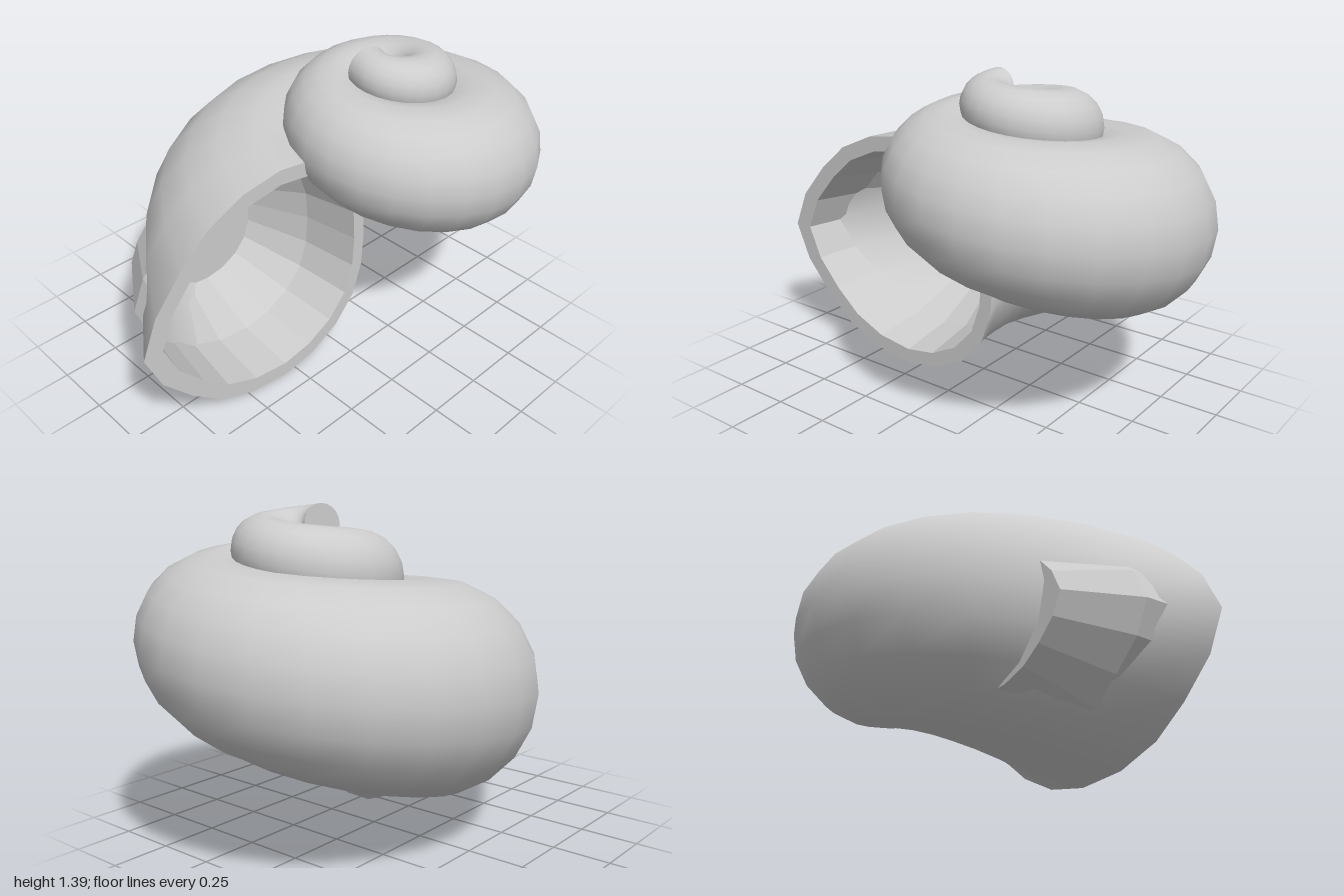
import * as THREE from 'three';

const SIDES = 20;
const STEPS_PER_QUARTER = 6;
const QUARTERS = 8.2;
const AXIS = { x: 0.277, z: 0.156 };

// Cross-section of the shell tube, q quarter turns in from the mouth
function section(q) {
  const s = Math.pow(0.806, q);
  const flare = Math.pow(Math.max(0, 1 - q / 0.333), 2);
  const angle = q * Math.PI / 2;
  const ring = [];
  for (let j = 0; j < SIDES; j++) {
    const a = j / SIDES * Math.PI * 2;
    const c = Math.cos(a);
    // flared, pointed outer edge at the mouth; flattened towards the axis
    const out = c > 0
      ? 0.525 * c * (1 + 0.16 * flare) + 0.08 * flare * Math.max(0, (c - 0.9) / 0.1)
      : 0.525 * c * (1 - 0.1 * Math.pow(c, 6));
    const r = s * (0.587 + out);
    ring.push(new THREE.Vector3(
      AXIS.x - r * Math.cos(angle),
      1.42 - 0.897 * s + 0.525 * s * Math.sin(a) + 0.006 * Math.max(0, q - 3),
      AXIS.z - r * Math.sin(angle)
    ));
  }
  return ring;
}

// Skin a surface over a list of closed rings
function loft(rings, flat) {
  const pos = [], index = [];
  rings.forEach(ring => ring.forEach(p => pos.push(p.x, p.y, p.z)));
  for (let i = 0; i < rings.length - 1; i++) {
    for (let j = 0; j < SIDES; j++) {
      const k = (j + 1) % SIDES;
      const a = i * SIDES + j, b = i * SIDES + k;
      index.push(a, b, a + SIDES, b, b + SIDES, a + SIDES);
    }
  }
  let g = new THREE.BufferGeometry();
  g.setAttribute('position', new THREE.Float32BufferAttribute(pos, 3));
  g.setIndex(index);
  if (flat) g = g.toNonIndexed();
  g.computeVertexNormals();
  return g;
}

export function createModel() {
  const group = new THREE.Group();
  const shellGrey = new THREE.MeshStandardMaterial({ color: 0xcccccc, side: THREE.DoubleSide });
  shellGrey.name = 'shell grey';
  const add = (name, geometry) => {
    const mesh = new THREE.Mesh(geometry, shellGrey);
    mesh.name = name;
    group.add(mesh);
  };

  // Spiral outer wall
  const rings = [];
  const count = Math.round(QUARTERS * STEPS_PER_QUARTER);
  for (let i = 0; i <= count; i++) rings.push(section(i / STEPS_PER_QUARTER));
  add('spiralShell', loft(rings, false));

  // Flat end at the tip of the spiral
  const tip = rings[count];
  const tipCentre = tip.reduce((sum, p) => sum.add(p), new THREE.Vector3()).divideScalar(SIDES);
  add('apexCap', loft([tip, tip.map(() => tipCentre)], true));

  // Mouth outline scaled about its centre and set at a depth
  const mouth = (scale, z) => rings[0].map(p => new THREE.Vector3(
    -0.31 + (p.x + 0.31) * scale, 0.523 + (p.y - 0.523) * scale, z));

  // Flat rim around the opening
  add('mouthLip', loft([mouth(0.875, AXIS.z), rings[0]], true));

  // Faceted hollow narrowing to a flat back
  add('mouthCavity', loft([mouth(0.55, -0.365), mouth(0.8, -0.1), mouth(0.875, AXIS.z)], true));
  add('cavityBack', loft([mouth(0, -0.365), mouth(0.55, -0.365)], true));

  return group;
}
